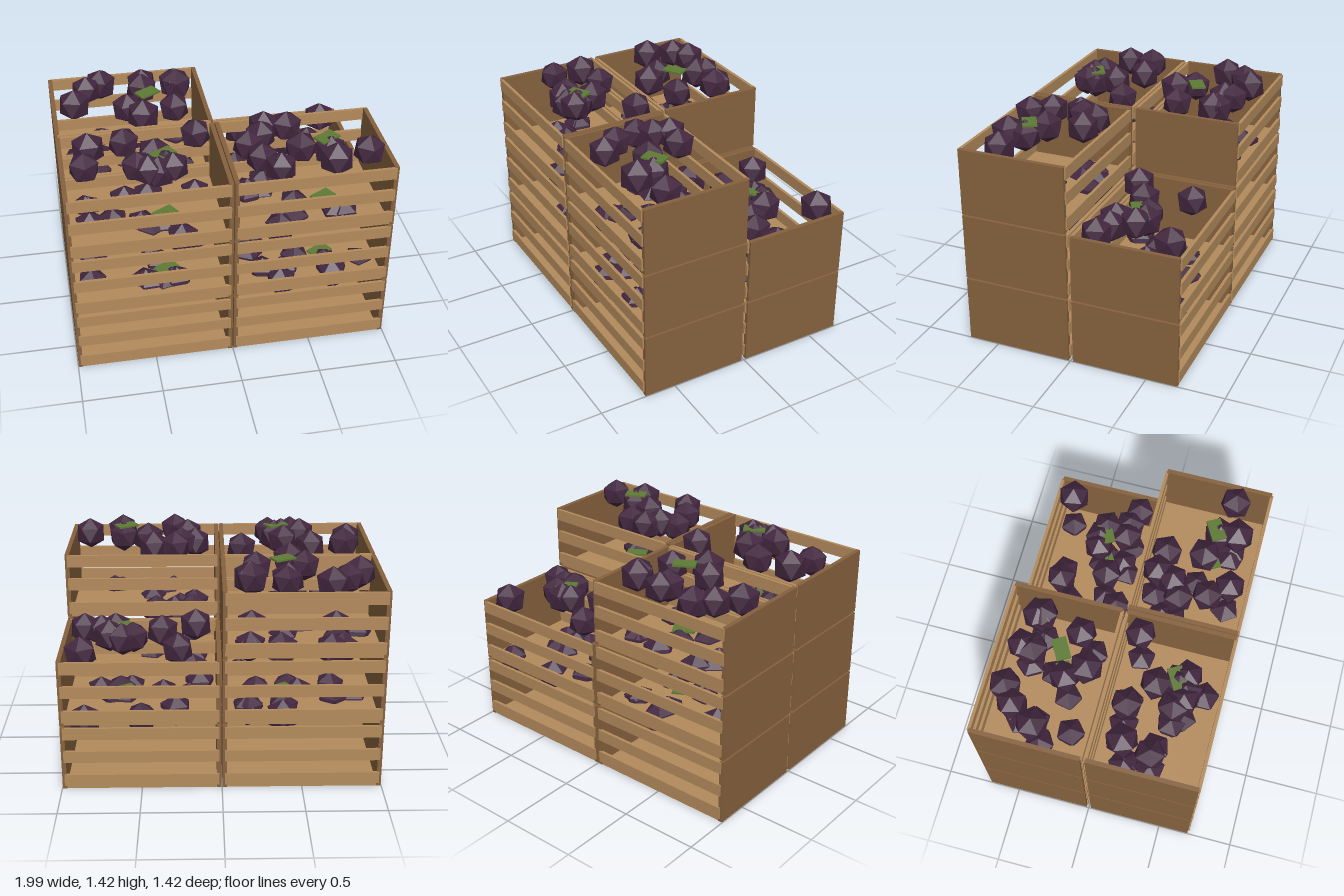
import * as THREE from 'three';

const mat = (name, color) => Object.assign(new THREE.MeshStandardMaterial({ color }), { name });

const PITCH = 0.4375; // height from one crate layer to the next

// Each stack: crate centre, layers, produce positions [x, z] of the top crate
// and of the crate beneath it, whose produce pokes through the floor above.
const STACKS = [
  {
    x: -0.5, z: 0.3575, layers: 3,
    top: [[-0.81, 0.19], [-0.59, 0.16], [-0.85, 0.37], [-0.14, 0.13], [-0.42, 0.3],
      [-0.54, 0.43], [-0.48, 0.48], [-0.42, 0.48], [-0.33, 0.47], [-0.37, 0.43]],
    under: [[-0.45, 0.14], [-0.85, 0.21], [-0.7, 0.37], [-0.3, 0.59]],
  },
  {
    x: 0.5, z: 0.3575, layers: 3,
    top: [[0.29, 0.13], [0.43, 0.15], [0.16, 0.29], [0.25, 0.23], [0.21, 0.46],
      [0.3, 0.58], [0.47, 0.38], [0.65, 0.55], [0.87, 0.49], [0.64, 0.44]],
    under: [[0.18, 0.19], [0.37, 0.48], [0.41, 0.53], [0.72, 0.53]],
  },
  {
    x: -0.5, z: -0.3575, layers: 3,
    top: [[-0.66, -0.57], [-0.76, -0.5], [-0.85, -0.35], [-0.39, -0.54], [-0.4, -0.48],
      [-0.18, -0.5], [-0.17, -0.48], [-0.52, -0.24], [-0.43, -0.13], [-0.22, -0.22]],
    under: [[-0.72, -0.39], [-0.74, -0.16], [-0.2, -0.16], [-0.39, -0.36]],
  },
  {
    x: 0.5, z: -0.3575, layers: 2,
    top: [[0.27, -0.51], [0.86, -0.59], [0.16, -0.11], [0.37, -0.23], [0.55, -0.33],
      [0.62, -0.34], [0.7, -0.31], [0.67, -0.17], [0.87, -0.13], [0.76, -0.17]],
    under: [[0.5, -0.57], [0.2, -0.25], [0.58, -0.14], [0.78, -0.15]],
  },
];

export function createModel() {
  const model = new THREE.Group();
  model.name = 'stackedCrates';
  const slatWood = mat('light wood', 0xb48b5c);
  const panelWood = mat('brown wood', 0x86623e);
  const purple = mat('dark purple', 0x42273f);
  const green = mat('leaf green', 0x5f7a35);

  let seed = 7;
  const rand = () => (seed = (seed * 16807) % 2147483647) / 2147483647;

  const panelGeo = new THREE.BoxGeometry(0.028, 0.425, 0.685);
  const slatGeo = new THREE.BoxGeometry(0.965, 0.077, 0.02);
  const floorGeo = new THREE.BoxGeometry(0.965, 0.02, 0.68);
  const leafGeo = new THREE.BoxGeometry(0.14, 0.012, 0.09);
  // Faceted produce standing on one of its corners
  const produceGeo = new THREE.IcosahedronGeometry(1, 0);
  produceGeo.rotateX(-Math.atan((1 + Math.sqrt(5)) / 2));

  const add = (parent, name, geo, material, x, y, z) => {
    const mesh = new THREE.Mesh(geo, material);
    mesh.name = name;
    mesh.position.set(x, y, z);
    parent.add(mesh);
    return mesh;
  };

  function makeCrate() {
    const crate = new THREE.Group();
    crate.name = 'crate';
    add(crate, 'floor', floorGeo, slatWood, 0, 0.011, 0);
    for (const side of [-1, 1]) {
      add(crate, 'endPanel', panelGeo, panelWood, side * 0.483, 0.2125, 0);
      for (const y of [0.062, 0.225, 0.383]) {
        add(crate, 'slat', slatGeo, slatWood, 0, y, side * 0.3425);
      }
    }
    // Loose leaf lying on the produce
    add(crate, 'leaf', leafGeo, green, 0.12, 0.5, 0.06).rotation.y = 0.52;
    return crate;
  }

  for (const { x, z, layers, top, under } of STACKS) {
    // Hidden produce sits roughly below the heap above it
    const jitter = ([px, pz]) => [px + (rand() - 0.5) * 0.05, pz + (rand() - 0.5) * 0.05];
    const below = [...under, ...top.filter((_, i) => i % 5 !== 4).slice(0, 7).map(jitter)];
    const lowest = [...top.slice(2), ...under.slice(0, 2)].map(jitter);

    for (let layer = 0; layer < layers; layer++) {
      const crate = makeCrate();
      crate.position.set(x, layer * PITCH, z);
      model.add(crate);

      const fromTop = layers - 1 - layer;
      for (const [px, pz] of [top, below, lowest][fromTop]) {
        const fruit = add(crate, 'produce', produceGeo, purple,
          px - x, 0.428 + (rand() - 0.5) * 0.024, pz - z);
        fruit.scale.setScalar(0.1 + rand() * 0.01);
        fruit.rotation.y = rand() * Math.PI * 2;
      }
    }
  }
  return model;
}
